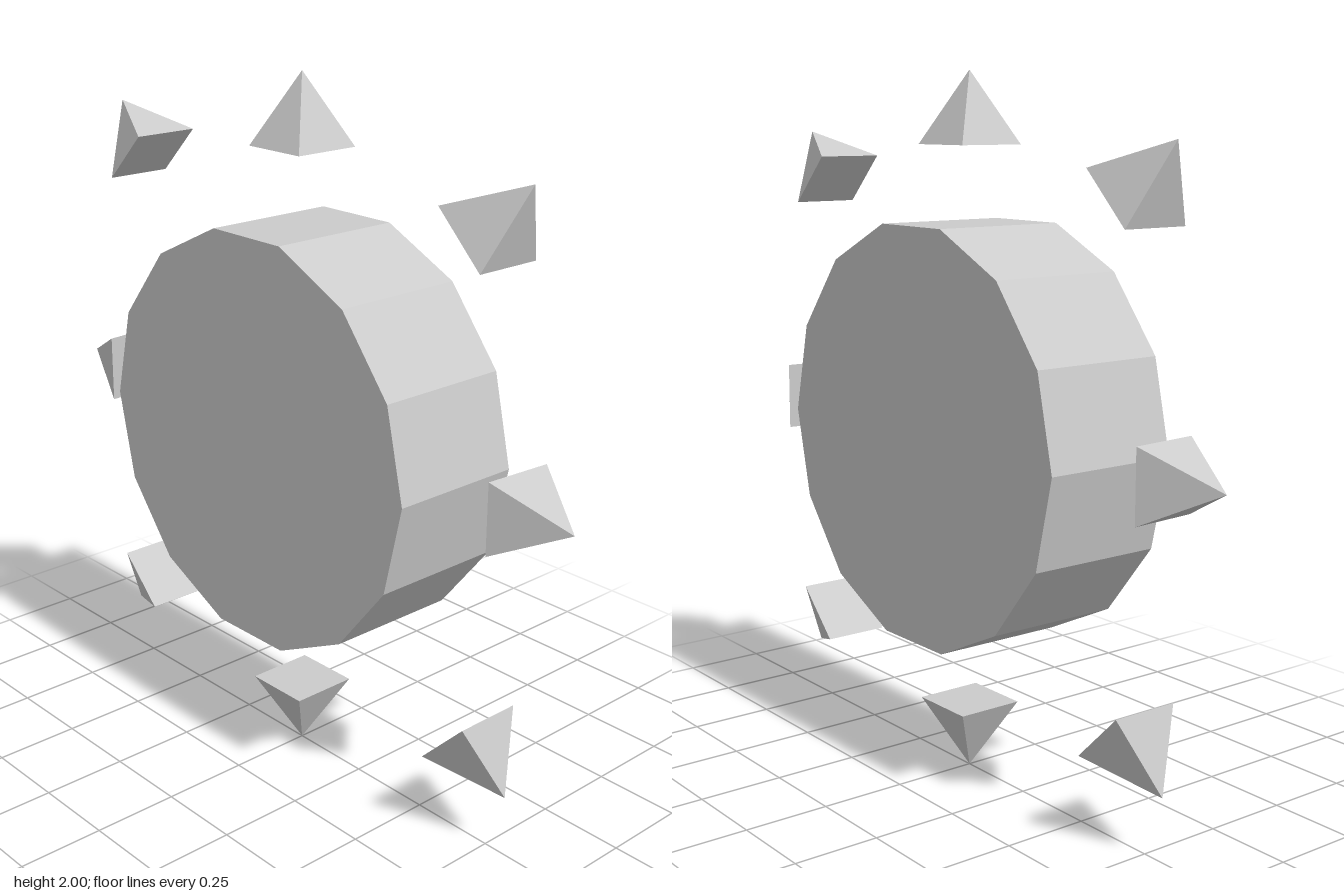
import * as THREE from 'three';

const CENTRE_Y = 1;
const material = new THREE.MeshStandardMaterial({ color: 0xcccccc, flatShading: true });

// Four-sided pyramid, 0.2 wide and 0.2 high, pointing up
const spikeGeometry = new THREE.ConeGeometry(0.1 * Math.SQRT2, 0.2, 4, 1, false, Math.PI / 4);

function addSpike(group, name, x, y, angle, tilt = 0) {
  const spike = new THREE.Mesh(spikeGeometry, material);
  spike.name = name;
  spike.position.set(x, CENTRE_Y + y, 0);
  // Point outward, then lean slightly toward the front
  spike.rotation.set(0, tilt, angle, 'YZX');
  group.add(spike);
}

export function createModel() {
  const group = new THREE.Group();
  group.name = 'spikedDisc';

  // Fourteen-sided disc facing the front, with a corner on each side
  const discGeometry = new THREE.CylinderGeometry(0.6, 0.6, 0.4, 14, 1, false, Math.PI / 2);
  discGeometry.rotateX(Math.PI / 2);
  const disc = new THREE.Mesh(discGeometry, material);
  disc.name = 'disc';
  disc.position.y = CENTRE_Y;
  group.add(disc);

  // Upright spikes above and below
  addSpike(group, 'topSpike', 0, 0.9, 0);
  addSpike(group, 'bottomSpike', 0, -0.9, Math.PI);

  // Side and diagonal spikes, mirrored left and right
  for (const [side, s] of [['left', 1], ['right', -1]]) {
    addSpike(group, `${side}Spike`, s * 0.895, 0, -s * Math.PI / 2, -s * 0.075);
    addSpike(group, `${side}UpperSpike`, s * 0.74, 0.755, -s * Math.PI / 4);
    addSpike(group, `${side}LowerSpike`, s * 0.74, -0.755, -s * Math.PI * 0.75);
  }
  return group;
}
